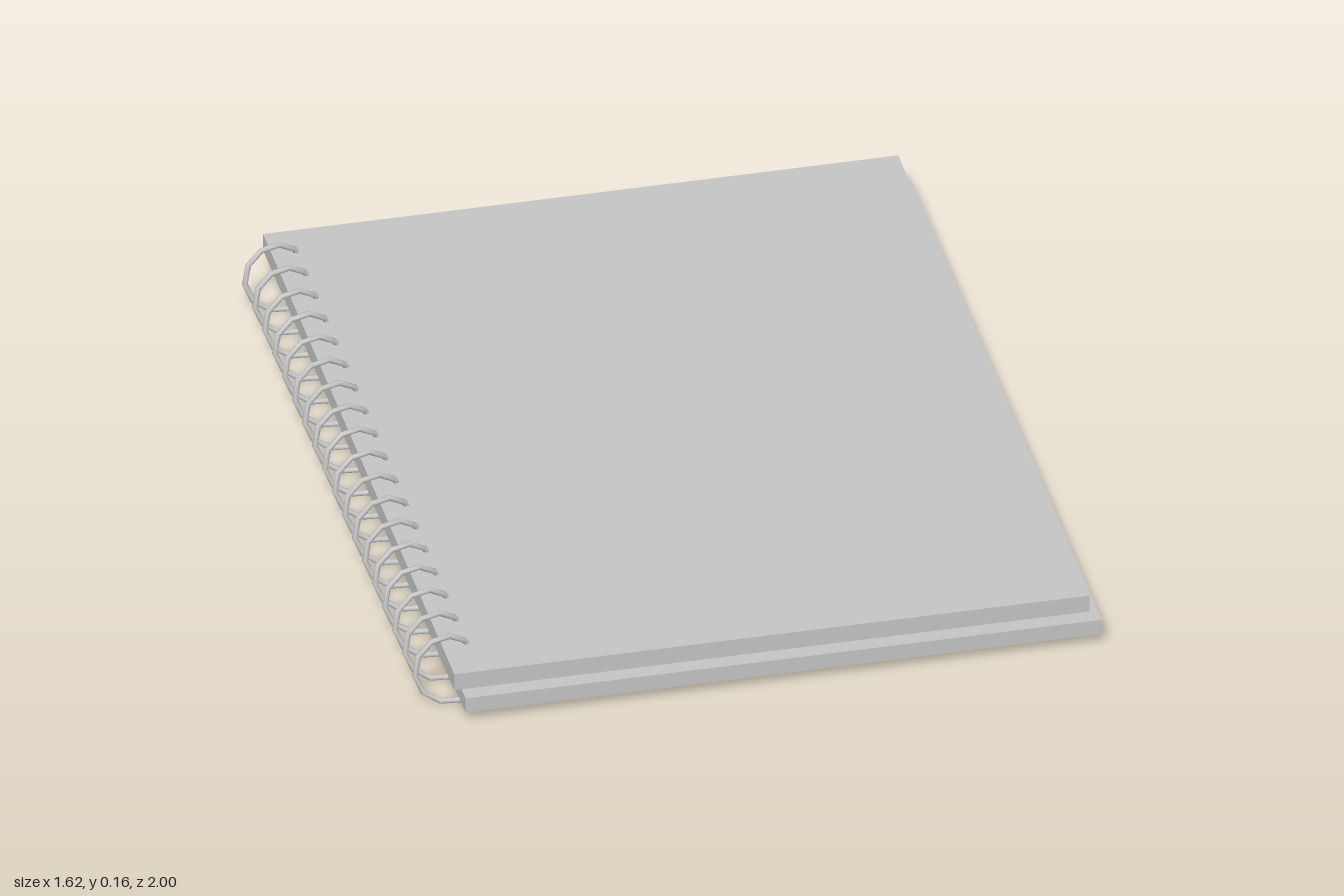
import * as THREE from 'three';

const TURNS = 18, SIDES = 10, PITCH = 0.103;

// Helix running front to back along the spine
class SpineHelix extends THREE.Curve {
  getPoint(t, target = new THREE.Vector3()) {
    const turn = t * TURNS + 5 / 360;
    const a = turn * Math.PI * 2;
    return target.set(-0.732 + 0.073 * Math.cos(a), 0.079 + 0.073 * Math.sin(a), -0.917 + turn * PITCH);
  }
}

export function createModel() {
  const group = new THREE.Group();
  group.name = 'spiralNotebook';
  const grey = new THREE.MeshStandardMaterial({ color: 0xc4c4c4 });
  grey.name = 'lightGrey';

  // Two page blocks, slightly offset from each other
  const addSlab = (name, x0, x1, y0, y1, z0, z1) => {
    const slab = new THREE.Mesh(new THREE.BoxGeometry(x1 - x0, y1 - y0, z1 - z0), grey);
    slab.name = name;
    slab.position.set((x0 + x1) / 2, (y0 + y1) / 2, (z0 + z1) / 2);
    group.add(slab);
  };
  addSlab('topPages', -0.73, 0.787, 0.073, 0.117, -1, 0.97);
  addSlab('bottomPages', -0.71, 0.81, 0.027, 0.066, -0.97, 1);

  // Wire binding: ten straight segments per turn
  const helix = new SpineHelix();
  helix.arcLengthDivisions = TURNS * SIDES;
  const wire = new THREE.Mesh(new THREE.TubeGeometry(helix, TURNS * SIDES, 0.007, 8, false), grey);
  wire.name = 'spiralBinding';
  group.add(wire);

  return group;
}
